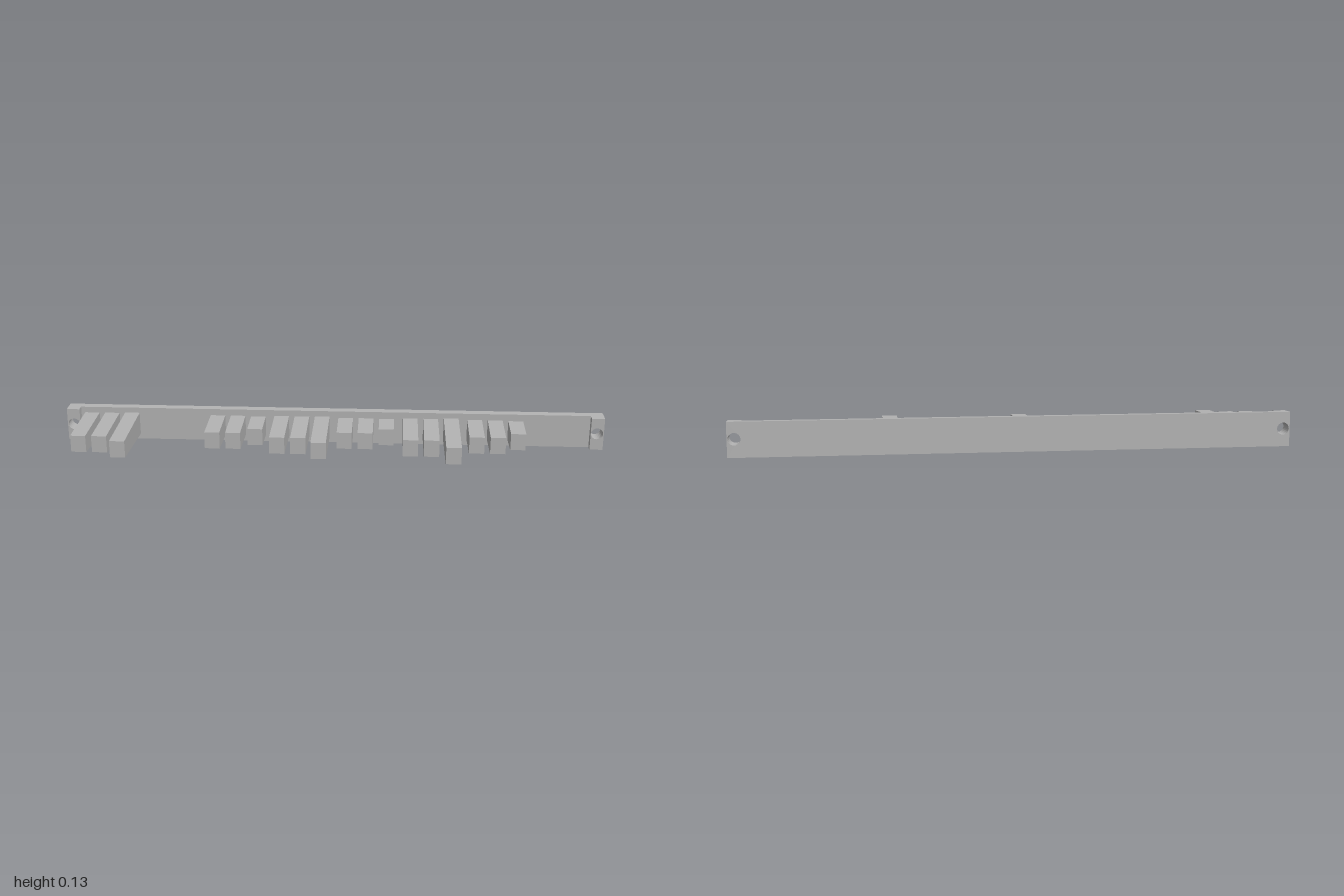
import * as THREE from 'three';

const MID_Y = 0.063;   // height of the centre line
const BACK = -0.149;   // back face of the plate
const FACE = -0.119;   // front face of the plate
const TAB_END = -0.093;
const DRAFT = 0.04;    // slope of the upper and lower faces

// Narrow a geometry (centred on y = 0) towards +z, full height at z = from
function taper(geometry, from, halfHeight) {
  const g = geometry.index ? geometry.toNonIndexed() : geometry;
  const p = g.attributes.position;
  for (let i = 0; i < p.count; i++) {
    const s = 1 - DRAFT * (p.getZ(i) - from) / halfHeight;
    p.setY(i, p.getY(i) * s + MID_Y);
  }
  g.computeVertexNormals();
  return g;
}

// Rectangle between x0 and x1 with round screw holes, extruded along z
function drilledSlab(x0, x1, holes, z0, z1) {
  const h = 0.063;
  const shape = new THREE.Shape();
  shape.moveTo(x0, -h).lineTo(x1, -h).lineTo(x1, h).lineTo(x0, h).closePath();
  for (const x of holes) {
    shape.holes.push(new THREE.Path().absarc(x, 0.002, 0.022, 0, Math.PI * 2, true));
  }
  const g = new THREE.ExtrudeGeometry(shape, { depth: z1 - z0, bevelEnabled: false, curveSegments: 12 });
  g.translate(0, 0, z0);
  return taper(g, BACK, h);
}

export function createModel() {
  const model = new THREE.Group();
  const grey = new THREE.MeshStandardMaterial({ color: 0xb2b2b2 });
  grey.name = 'plainGrey';
  const add = (name, geometry) => {
    const mesh = new THREE.Mesh(geometry, grey);
    mesh.name = name;
    model.add(mesh);
  };

  // Long back plate and the raised screw tabs at its ends
  add('backPlate', drilledSlab(-1, 1, [-0.975, 0.975], BACK, FACE));
  add('rightTab', drilledSlab(-1, -0.952, [-0.975], FACE, TAB_END));
  add('leftTab', drilledSlab(0.952, 1, [0.975], FACE, TAB_END));

  // Groups of three pegs: x of the first, tip of the first two, tip of the third
  const groups = [
    [-0.91, 0.104, 0.149],
    [-0.433, 0.044, 0.002],
    [-0.193, 0.083, 0.126],
    [0.047, 0.022, -0.021],
    [0.287, 0.083, 0.149],
    [0.526, 0.044, 0.002],
  ];
  for (const [x, tipA, tipB] of groups) {
    [tipA, tipA, tipB].forEach((tip, i) => {
      const length = tip - FACE;
      const half = 0.031 + DRAFT * length; // every tip has the same height
      const g = new THREE.BoxGeometry(0.055, half * 2, length);
      g.translate(x + i * 0.076, 0, FACE + length / 2);
      add('peg', taper(g, FACE, half));
    });
  }
  return model;
}
